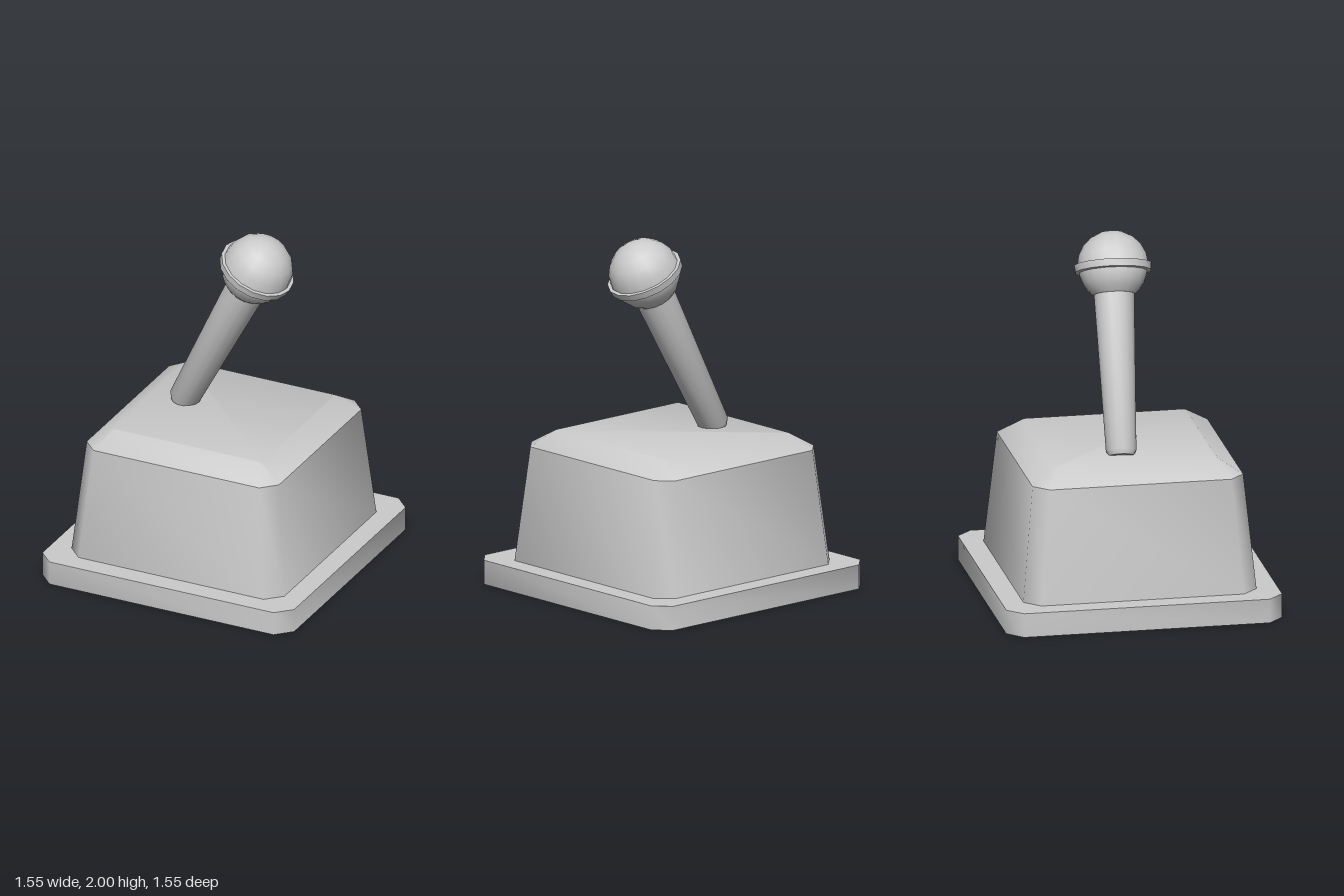
import * as THREE from 'three';
import { toCreasedNormals } from 'three/addons/utils/BufferGeometryUtils.js';

const material = new THREE.MeshStandardMaterial({ color: 0xcccccc });

function addMesh(parent, name, geometry, crease) {
  const mesh = new THREE.Mesh(toCreasedNormals(geometry, crease), material);
  mesh.name = name;
  parent.add(mesh);
  return mesh;
}

// Corners of a square with cut corners, at height y
function ring(half, cut, y) {
  const a = half, b = half - cut;
  return [[a, b], [b, a], [-b, a], [-a, b], [-a, -b], [-b, -a], [b, -a], [a, -b]]
    .map(([x, z]) => [x, y, z]);
}

// Closed solid through stacked cut-corner squares, given as [half, cut, y]
function stackedSquares(levels) {
  const rings = levels.map((l) => ring(...l));
  const points = [];
  const tri = (a, b, c) => points.push(...a, ...b, ...c);
  for (let k = 0; k < rings.length - 1; k++) {
    const lo = rings[k], hi = rings[k + 1];
    for (let i = 0; i < 8; i++) {
      const j = (i + 1) % 8;
      tri(lo[i], hi[i], hi[j]);
      tri(lo[i], hi[j], lo[j]);
    }
  }
  const bottom = rings[0], top = rings[rings.length - 1];
  for (let i = 1; i < 7; i++) {
    tri(bottom[0], bottom[i], bottom[i + 1]);
    tri(top[0], top[i + 1], top[i]);
  }
  const geometry = new THREE.BufferGeometry();
  geometry.setAttribute('position', new THREE.Float32BufferAttribute(points, 3));
  geometry.computeVertexNormals();
  return geometry;
}

function lathe(profile) {
  return new THREE.LatheGeometry(profile.map(([r, y]) => new THREE.Vector2(r, y)), 16);
}

// Points on a circular arc between two latitudes in degrees
function arc(radius, from, to, steps) {
  return Array.from({ length: steps + 1 }, (_, i) => {
    const t = THREE.MathUtils.degToRad(from + ((to - from) * i) / steps);
    return [Math.max(0, radius * Math.cos(t)), radius * Math.sin(t)];
  });
}

export function createModel() {
  const model = new THREE.Group();
  model.name = 'controlLever';

  // Foot plate and tapered housing
  addMesh(model, 'basePlate', stackedSquares([[0.775, 0.085, 0], [0.775, 0.085, 0.137]]), 0.87);
  addMesh(model, 'housing', stackedSquares([
    [0.655, 0.085, 0.137], [0.592, 0.082, 0.785], [0.46, 0.012, 0.868],
  ]), 0.87);

  // Leaning lever, with its origin at the centre of the knob
  const lever = new THREE.Group();
  lever.name = 'lever';
  lever.position.set(0.203, 1.8, 0);
  lever.quaternion.setFromUnitVectors(
    new THREE.Vector3(0, 1, 0), new THREE.Vector3(0.46, 0.9, 0.045).normalize());
  model.add(lever);

  addMesh(lever, 'shaft', lathe([
    [0, -1.06], [0.07, -1.06], [0.086, -1.03], [0.114, -0.14], [0, -0.14],
  ]), 0.6);
  addMesh(lever, 'knobCup', lathe([[0, -0.157], ...arc(0.195, -54, 0, 4)]), 0.6);
  addMesh(lever, 'knobCollar', lathe([
    [0.185, -0.035], [0.212, -0.03], [0.217, 0.01], [0.185, 0.012],
  ]), 0.6);
  addMesh(lever, 'knobDome', lathe(arc(0.2, 0, 90, 5)), 0.6);

  return model;
}
